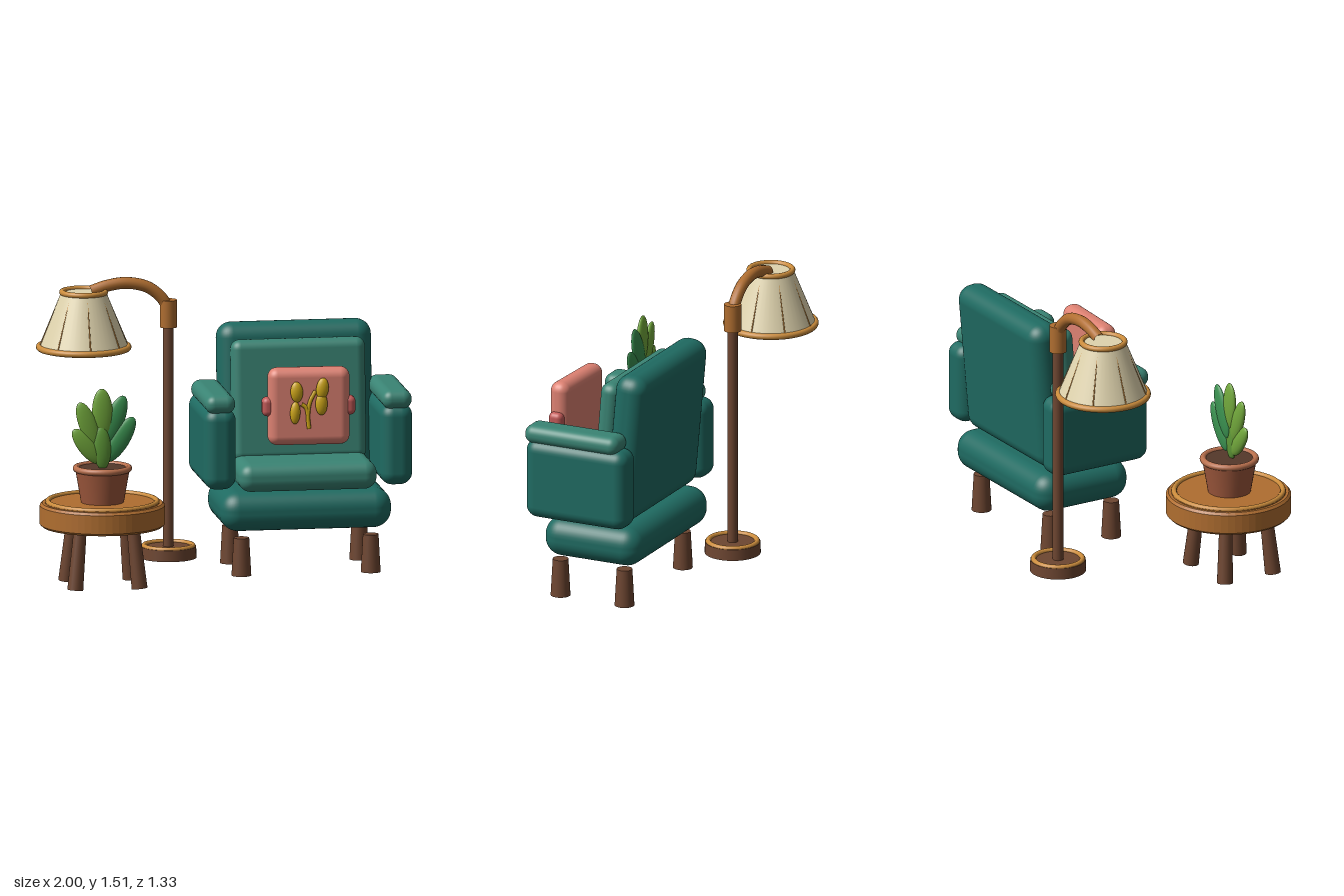
import * as THREE from 'three';
import { RoundedBoxGeometry } from 'three/addons/geometries/RoundedBoxGeometry.js';

const paint = (color) => new THREE.MeshStandardMaterial({ color });
const M = {
  teal: paint(0x1f6b62), tealLight: paint(0x3a8474), pink: paint(0xdd8172), pinkDark: paint(0xc25a58),
  yellow: paint(0xd0a818), brown: paint(0x6e4631), wood: paint(0xb06e30), trim: paint(0xcb8c3c),
  cream: paint(0xe0d4ae), clay: paint(0xa0593d), clayRim: paint(0xb9704d), soil: paint(0x55382a),
  leafLight: paint(0x72a83c), leafMid: paint(0x5f9a38), leafDark: paint(0x3a9150),
};

function add(parent, name, geometry, material, x = 0, y = 0, z = 0) {
  const mesh = new THREE.Mesh(geometry, material);
  mesh.name = name;
  mesh.position.set(x, y, z);
  parent.add(mesh);
  return mesh;
}

function group(parent, name, x = 0, y = 0, z = 0) {
  const g = new THREE.Group();
  g.name = name;
  g.position.set(x, y, z);
  parent.add(g);
  return g;
}

const cushion = (w, h, d, r) => new RoundedBoxGeometry(w, h, d, 5, r);
const ring = (r, tube) => new THREE.TorusGeometry(r, tube, 12, 48).rotateX(Math.PI / 2);
const drum = (top, bottom, h, sides = 40) => new THREE.CylinderGeometry(top, bottom, h, sides);

// Flat oval, leaning by angle in the xy plane
function oval(parent, name, material, x, y, z, w, h, d, angle) {
  const m = add(parent, name, new THREE.SphereGeometry(1, 20, 14), material, x, y, z);
  m.scale.set(w, h, d);
  m.rotation.z = angle;
  return m;
}

// Tapered cylinder running between two points
function rod(parent, name, material, from, to, rFrom, rTo, sides = 20) {
  const dir = to.clone().sub(from);
  const m = add(parent, name, drum(rTo, rFrom, dir.length(), sides), material);
  m.position.copy(from).add(to).multiplyScalar(0.5);
  m.quaternion.setFromUnitVectors(new THREE.Vector3(0, 1, 0), dir.normalize());
  return m;
}

function buildArmchair(parent) {
  const chair = group(parent, 'armchair', 0.445);
  add(chair, 'seatBase', cushion(0.905, 0.21, 0.56, 0.095), M.teal, 0, 0.337, -0.12);
  add(chair, 'seatCushion', cushion(0.73, 0.15, 0.48, 0.065), M.tealLight, 0, 0.525, -0.04);
  const back = add(chair, 'backrest', cushion(0.815, 0.81, 0.18, 0.08), M.teal, 0, 0.866, -0.295);
  back.rotation.x = -0.09;
  const pad = add(chair, 'backCushion', cushion(0.71, 0.64, 0.11, 0.05), M.tealLight, 0, 0.88, -0.165);
  pad.rotation.x = -0.08;
  for (const side of [-1, 1]) {
    add(chair, 'armrest', cushion(0.17, 0.43, 0.59, 0.065), M.teal, side * 0.467, 0.685, -0.085);
    add(chair, 'armrestPad', cushion(0.158, 0.1, 0.545, 0.048), M.tealLight, side * 0.467, 0.925, -0.057);
    for (const z of [0.093, -0.28])
      add(chair, 'chairLeg', drum(0.041, 0.052, 0.2, 24), M.brown, side * 0.342, 0.1, z);
  }
}

function buildPillow(parent) {
  const pillow = group(parent, 'pillow', 0.445, 0.905, 0.17);
  pillow.rotation.y = -0.04;
  add(pillow, 'pillowBody', cushion(0.43, 0.41, 0.11, 0.05), M.pink);
  for (const side of [-1, 1])
    add(pillow, 'pillowTuft', cushion(0.062, 0.1, 0.08, 0.028), M.pinkDark, side * 0.215, 0, 0);
  // Raised sprig decoration
  const z = 0.072;
  const petals = [
    [-0.07, 0.085, 0.033, 0.055, 0.05], [-0.078, -0.025, 0.027, 0.06, -0.03],
    [0.065, 0.1, 0.033, 0.058, -0.1], [0.06, 0.02, 0.032, 0.06, 0],
  ];
  for (const [x, y, w, h, a] of petals) oval(pillow, 'sprigPetal', M.yellow, x, y, z, w, h, 0.022, a);
  const stems = [
    [[0.03, 0.09], [0, 0.03], [-0.01, -0.04], [-0.005, -0.11]],
    [[-0.045, 0.02], [-0.02, 0.0], [-0.01, -0.04]],
  ];
  for (const pts of stems) {
    const path = new THREE.CatmullRomCurve3(pts.map(([x, y]) => new THREE.Vector3(x, y, z - 0.005)));
    add(pillow, 'sprigStem', new THREE.TubeGeometry(path, 20, 0.011, 8), M.yellow);
  }
}

function buildLamp(parent) {
  const lamp = group(parent, 'floorLamp', -0.2, 0, -0.42);
  add(lamp, 'lampBase', drum(0.145, 0.147, 0.06), M.brown, 0, 0.043, 0);
  add(lamp, 'lampBaseTrim', ring(0.128, 0.014), M.trim, 0, 0.074, 0);
  add(lamp, 'lampPole', drum(0.028, 0.028, 1.2, 24), M.brown, 0, 0.67, 0);
  add(lamp, 'lampCollar', drum(0.045, 0.045, 0.145, 28), M.wood, 0, 1.307, 0);
  const arc = new THREE.CatmullRomCurve3([
    [0, 1.33], [-0.035, 1.39], [-0.11, 1.45], [-0.22, 1.475], [-0.32, 1.464], [-0.41, 1.436],
  ].map(([x, y]) => new THREE.Vector3(x, y, 0)));
  add(lamp, 'lampArm', new THREE.TubeGeometry(arc, 40, 0.031, 14), M.wood);

  // Shade with rims, ribs and bulb
  const shade = group(lamp, 'lampShade', -0.448, 0, 0);
  add(shade, 'shadeBody', drum(0.118, 0.235, 0.29, 48), M.cream, 0, 1.287, 0);
  add(shade, 'shadeTopRim', ring(0.113, 0.015), M.trim, 0, 1.433, 0);
  add(shade, 'shadeBottomRim', ring(0.233, 0.017), M.trim, 0, 1.142, 0);
  for (let i = 0; i < 8; i++) {
    const a = (i / 8) * Math.PI * 2;
    const at = (r, y) => new THREE.Vector3(r * Math.sin(a), y, r * Math.cos(a));
    rod(shade, 'shadeRib', M.trim, at(0.234, 1.145), at(0.115, 1.43), 0.004, 0.003, 8);
  }
  add(shade, 'bulb', new THREE.SphereGeometry(0.047, 24, 16), M.cream, 0, 1.153, 0);
}

function buildTable(parent) {
  const table = group(parent, 'sideTable', -0.672, 0, 0.335);
  const edge = [[0, 0.33], [0.315, 0.33], [0.327, 0.342], [0.327, 0.44], [0.315, 0.453], [0, 0.453]];
  edge.forEach((p, i) => { edge[i] = new THREE.Vector2(...p); });
  const top = new THREE.LatheGeometry(edge, 56).toNonIndexed();
  top.computeVertexNormals();
  add(table, 'tableTop', drum(0.3, 0.3, 0.01, 56), M.wood, 0, 0.452, 0);
  add(table, 'tableSlab', top, M.wood);
  add(table, 'tableTrim', ring(0.285, 0.014), M.trim, 0, 0.458, 0);
  for (const sx of [-1, 1]) for (const sz of [-1, 1])
    rod(table, 'tableLeg', M.brown, new THREE.Vector3(sx * 0.17, 0.022, 0.02 + sz * 0.147),
      new THREE.Vector3(sx * 0.14, 0.34, 0.02 + sz * 0.123), 0.042, 0.034);
}

function buildPlant(parent) {
  const plant = group(parent, 'pottedPlant', -0.672, 0, 0.34);
  add(plant, 'pot', drum(0.143, 0.112, 0.18), M.clay, 0, 0.545, 0);
  add(plant, 'potRim', ring(0.138, 0.017), M.clayRim, 0, 0.635, 0);
  add(plant, 'soil', drum(0.13, 0.13, 0.01), M.soil, 0, 0.635, 0);
  // x, y, z, half width, half height, lean, material
  const leaves = [
    [0, 0.925, 0.002, 0.055, 0.132, 0.04, M.leafLight],
    [-0.075, 0.865, 0.006, 0.048, 0.132, 0.38, M.leafLight],
    [-0.085, 0.755, 0.01, 0.045, 0.115, 0.65, M.leafLight],
    [0.062, 0.88, -0.006, 0.052, 0.145, -0.38, M.leafDark],
    [0.095, 0.785, -0.002, 0.05, 0.135, -0.55, M.leafDark],
    [-0.005, 0.745, 0.012, 0.048, 0.115, 0.05, M.leafMid],
  ];
  for (const [x, y, z, w, h, a, m] of leaves) oval(plant, 'leaf', m, x, y, z, w, h, 0.022, a);
}

export function createModel() {
  const model = new THREE.Group();
  model.name = 'readingCorner';
  buildArmchair(model);
  buildPillow(model);
  buildLamp(model);
  buildTable(model);
  buildPlant(model);
  return model;
}
